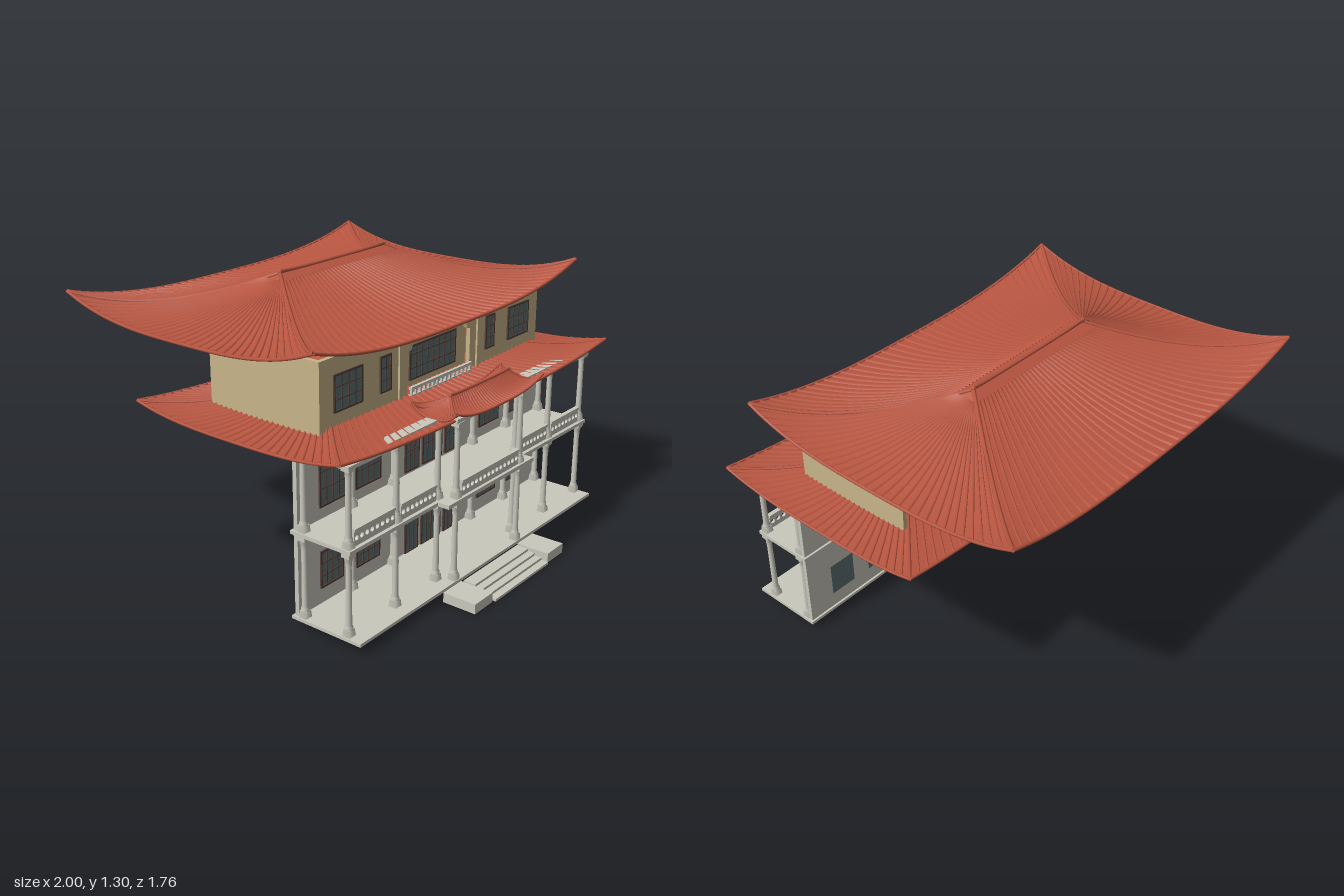
import * as THREE from 'three';
import { mergeGeometries } from 'three/addons/utils/BufferGeometryUtils.js';

const mat = (name, color, side = THREE.FrontSide) => {
  const m = new THREE.MeshStandardMaterial({ color, side });
  m.name = name;
  return m;
};

export function createModel() {
  const root = new THREE.Group();
  root.name = 'pavilion';
  const stone = mat('pale stone', 0xc9c8bc);
  const tile = mat('red roof tile', 0xb95641, THREE.DoubleSide);
  const plaster = mat('beige plaster', 0xc9b58a);
  const glass = mat('grey green glass', 0x5f7070);
  const wood = mat('dark brown wood', 0x553f39);

  const add = (name, geo, material, parent = root) => {
    const m = new THREE.Mesh(geo, material);
    m.name = name;
    parent.add(m);
    return m;
  };
  // box geometry from its limits
  const boxGeo = (x0, x1, y0, y1, z0, z1) =>
    new THREE.BoxGeometry(x1 - x0, y1 - y0, z1 - z0)
      .translate((x0 + x1) / 2, (y0 + y1) / 2, (z0 + z1) / 2);
  const box = (name, material, ...b) => add(name, boxGeo(...b), material);

  // surface through a rule fn(u, t), u and t from 0 to 1
  function grid(nu, nt, fn) {
    const pos = [], idx = [];
    for (let j = 0; j <= nt; j++)
      for (let i = 0; i <= nu; i++) pos.push(...fn(i / nu, j / nt).toArray());
    for (let j = 0; j < nt; j++)
      for (let i = 0; i < nu; i++) {
        const a = j * (nu + 1) + i, c = a + nu + 1;
        idx.push(a, c, c + 1, a, c + 1, a + 1);
      }
    const g = new THREE.BufferGeometry();
    g.setAttribute('position', new THREE.Float32BufferAttribute(pos, 3));
    g.setIndex(idx);
    g.computeVertexNormals();
    return g;
  }

  // curved hip roof: sagging slopes, lifted corners, fanning tile ribs
  function hipRoof(name, r) {
    const group = new THREE.Group();
    group.name = name;
    root.add(group);
    const pt = (side, u, t) => {
      const y = r.eaveY + (r.ridgeY - r.eaveY) * Math.pow(1 - t, 1.8)
        + r.lift * Math.pow(Math.abs(u), 3) * Math.pow(t, 3);
      const s = side < 2 ? 1 : -1;
      return side % 2 === 0
        ? new THREE.Vector3(s * u * (r.ridgeX + (r.eaveX - r.ridgeX) * t), y, r.cz + s * r.depth * t)
        : new THREE.Vector3(s * (r.ridgeX + (r.eaveX - r.ridgeX) * t), y, r.cz - s * r.depth * t * u);
    };
    const slopes = [], ribs = [], rims = [];
    const tube = (fn, n, rad) => {
      const pts = Array.from({ length: n + 1 }, (_, i) => fn(i / n));
      rims.push(new THREE.TubeGeometry(new THREE.CatmullRomCurve3(pts), n * 2, rad, 6));
    };
    for (let side = 0; side < 4; side++) {
      slopes.push(grid(24, 12, (u, t) => pt(side, u * 2 - 1, t)));
      const s = side < 2 ? 1 : -1;
      const across = side % 2 ? new THREE.Vector3(0, 0, -s) : new THREE.Vector3(s, 0, 0);
      const n = side % 2 ? r.ribsSide : r.ribsFront;
      for (let k = 1; k < n; k++) {
        const u0 = -1 + 2 * k / n;
        ribs.push(grid(2, 10, (i, t) => {
          const p = pt(side, u0, 0.08 + 0.92 * t);
          p.addScaledVector(across, (i * 2 - 1) * r.rib);
          p.y += i === 0.5 ? r.rib * 1.5 : 0.001;
          return p;
        }));
      }
      tube(t => pt(side, 1, t), 10, r.rim);
      tube(t => pt(side, t * 2 - 1, 1), 20, r.rim * 0.8);
    }
    tube(t => new THREE.Vector3((t * 2 - 1) * r.ridgeX, r.ridgeY + r.rim * 0.8 * Math.abs(t * 2 - 1) ** 4, r.cz), 12, r.rim);
    for (const s of [-1, 1])
      rims.push(new THREE.SphereGeometry(r.rim * 1.3, 8, 6).translate(s * r.ridgeX, r.ridgeY + r.rim * 0.6, r.cz));
    add(name + ' slopes', mergeGeometries(slopes), tile, group);
    add(name + ' ribs', mergeGeometries(ribs), tile, group);
    add(name + ' ridges', mergeGeometries(rims), tile, group);
  }
  hipRoof('upper roof', { cz: -0.175, ridgeX: 0.36, ridgeY: 1.28, eaveX: 0.945, depth: 0.7, eaveY: 1.105,
    lift: 0.1, ribsFront: 38, ribsSide: 30, rib: 0.006, rim: 0.009 });
  hipRoof('lower roof', { cz: 0.14, ridgeX: 0.45, ridgeY: 0.917, eaveX: 0.992, depth: 0.545, eaveY: 0.782,
    lift: 0.046, ribsFront: 40, ribsSide: 24, rib: 0.006, rim: 0.008 });
  hipRoof('porch roof', { cz: 0.625, ridgeX: 0.22, ridgeY: 0.862, eaveX: 0.33, depth: 0.112, eaveY: 0.795,
    lift: 0.045, ribsFront: 30, ribsSide: 12, rib: 0.004, rim: 0.007 });

  // window: glass through the wall, wooden frame and bars on the front
  function windowAt(name, x, w, y0, y1, zBack, zFront, cols, rows) {
    const x0 = x - w / 2, x1 = x + w / 2, b = 0.004, z1 = zFront + 0.007;
    box(name + ' glass', glass, x0, x1, y0, y1, zBack - 0.003, zFront + 0.003);
    const bars = [];
    for (let i = 0; i <= cols; i++) {
      const cx = x0 + w * i / cols, h = i % cols ? b / 2 : b;
      bars.push(boxGeo(cx - h, cx + h, y0, y1, zFront, z1));
    }
    for (const f of [0, ...rows, 1]) {
      const cy = y0 + (y1 - y0) * f, h = f % 1 ? b / 2 : b;
      bars.push(boxGeo(x0 - b, x1 + b, cy - h, cy + h, zFront, z1));
    }
    add(name + ' frame', mergeGeometries(bars), wood);
  }

  // main facade and floors
  box('facade wall', stone, -0.89, 0.89, 0.05, 0.785, 0.36, 0.38);
  box('ground slab', stone, -0.9, 0.9, 0.04, 0.054, 0.35, 0.705);
  box('balcony slab', stone, -0.9, 0.9, 0.418, 0.434, 0.35, 0.655);
  box('centre balcony slab', stone, -0.33, 0.33, 0.417, 0.435, 0.6, 0.71);
  box('ceiling slab', stone, -0.9, 0.9, 0.765, 0.781, 0.35, 0.65);
  box('eave beam', stone, -0.7, 0.7, 0.765, 0.796, 0.59, 0.645);
  box('porch beam', stone, -0.27, 0.27, 0.772, 0.792, 0.665, 0.7);

  for (const s of [-1, 1]) {
    windowAt('ground outer window', s * 0.688, 0.135, 0.128, 0.288, 0.36, 0.38, 4, [0.33, 0.68]);
    windowAt('ground inner window', s * 0.452, 0.15, 0.128, 0.288, 0.36, 0.38, 4, [0.33, 0.68]);
    windowAt('side door', s * 0.146, 0.088, 0.055, 0.292, 0.36, 0.38, 3, [0.75]);
    windowAt('upper outer window', s * 0.68, 0.155, 0.49, 0.682, 0.36, 0.38, 4, [0.4, 0.78]);
    windowAt('upper inner window', s * 0.452, 0.16, 0.49, 0.682, 0.36, 0.38, 4, [0.4, 0.78]);
    windowAt('balcony side door', s * 0.148, 0.095, 0.45, 0.682, 0.36, 0.38, 3, [0.4, 0.78]);
    windowAt('top outer window', s * 0.62, 0.17, 0.885, 1.035, 0.395, 0.415, 4, [0.33, 0.68]);
    windowAt('top narrow window', s * 0.383, 0.065, 0.885, 1.035, 0.395, 0.415, 2, [0.33, 0.68]);
  }
  windowAt('main door', 0, 0.14, 0.055, 0.292, 0.36, 0.38, 4, [0.75]);
  windowAt('balcony main door', 0, 0.14, 0.45, 0.682, 0.36, 0.38, 4, [0.4, 0.78]);
  windowAt('top centre window', 0, 0.33, 0.865, 1.012, 0.36, 0.375, 8, [0.33, 0.75]);

  // columns: square foot, slim shaft, flared capital
  const shaft = new THREE.LatheGeometry(
    [[0.018, 0], [0.017, 0.012], [0.0135, 0.02], [0.012, 0.27], [0.014, 0.28], [0.013, 0.29], [0.02, 0.315]]
      .map(p => new THREE.Vector2(...p)), 16);
  function column(x, z) {
    const g = new THREE.Group();
    g.name = 'column';
    root.add(g);
    for (const y of [0.054, 0.434]) {
      const foot = new THREE.CylinderGeometry(0.023, 0.027, 0.03, 4).rotateY(Math.PI / 4);
      add('column foot', foot, stone, g).position.set(x, y + 0.015, z);
      const m = add('column shaft', shaft, stone, g);
      m.position.set(x, y + 0.03, z);
      m.scale.y = y < 0.1 ? 1.0 : 0.96;
      const top = y < 0.1 ? 0.417 : 0.775;
      add('column cap', boxGeo(x - 0.02, x + 0.02, top - 0.02, top, z - 0.02, z + 0.02), stone, g);
    }
  }
  for (const s of [-1, 1]) {
    for (const x of [0.875, 0.58, 0.298]) {
      column(s * x, 0.627);
      column(s * x, 0.4);
    }
    column(s * 0.243, 0.683);
  }

  // balustrades pierced by a row of rounded openings
  function balustrade(x0, x1, z) {
    const s = new THREE.Shape([[x0, 0.434], [x1, 0.434], [x1, 0.498], [x0, 0.498]].map(p => new THREE.Vector2(...p)));
    const n = Math.round((x1 - x0) / 0.031), step = (x1 - x0) / n;
    for (let i = 0; i < n; i++) {
      const h = new THREE.Path();
      h.absarc(x0 + step * (i + 0.5), 0.468, 0.0115, 0, Math.PI * 2, true);
      s.holes.push(h);
    }
    const g = new THREE.ExtrudeGeometry(s, { depth: 0.012, bevelEnabled: false, curveSegments: 6 });
    add('balustrade', g.translate(0, 0, z - 0.006), stone);
    box('handrail', stone, x0, x1, 0.496, 0.508, z - 0.011, z + 0.011);
  }
  for (const [a, b] of [[0.32, 0.56], [0.6, 0.855]]) {
    balustrade(a, b, 0.632);
    balustrade(-b, -a, 0.632);
  }
  balustrade(-0.22, 0.22, 0.69);

  // top storey: front wall with a stepped opening over a recessed bay
  const front = new THREE.Shape([[-0.79, 0.8], [0.79, 0.8], [0.79, 1.11], [-0.79, 1.11]].map(p => new THREE.Vector2(...p)));
  const half = [[0.228, 0.815], [0.228, 1.01], [0.205, 1.015], [0.195, 1.04]];
  front.holes.push(new THREE.Path([...half, ...half.map(([x, y]) => [-x, y]).reverse()].map(p => new THREE.Vector2(...p))));
  add('top front wall', new THREE.ExtrudeGeometry(front, { depth: 0.02, bevelEnabled: false }).translate(0, 0, 0.395), plaster);
  box('recessed bay wall', plaster, -0.25, 0.25, 0.81, 1.1, 0.36, 0.375);
  box('bay rail', stone, -0.225, 0.225, 0.845, 0.858, 0.42, 0.434);
  box('bay rail base', stone, -0.225, 0.225, 0.81, 0.824, 0.415, 0.434);
  for (let i = 0; i <= 14; i++) {
    const x = -0.217 + i * 0.031;
    box('bay rail post', stone, x - 0.005, x + 0.005, 0.82, 0.85, 0.422, 0.432);
  }
  for (const s of [-1, 1]) {
    box('top side wall', plaster, s * 0.78 - 0.01, s * 0.78 + 0.01, 0.805, 1.11, -0.175, 0.41);
    box('bay pilaster', plaster, s * 0.285 - 0.01, s * 0.285 + 0.01, 0.81, 1.108, 0.41, 0.424);
    box('step plinth', stone, s * 0.29 - 0.065, s * 0.29 + 0.065, 0, 0.045, 0.71, 0.87);
  }

  // entrance steps
  for (let i = 0; i < 4; i++)
    box('entrance step', stone, -0.213, 0.213, i * 0.011, (i + 1) * 0.011, 0.715, 0.88 - i * 0.035);

  return root;
}
